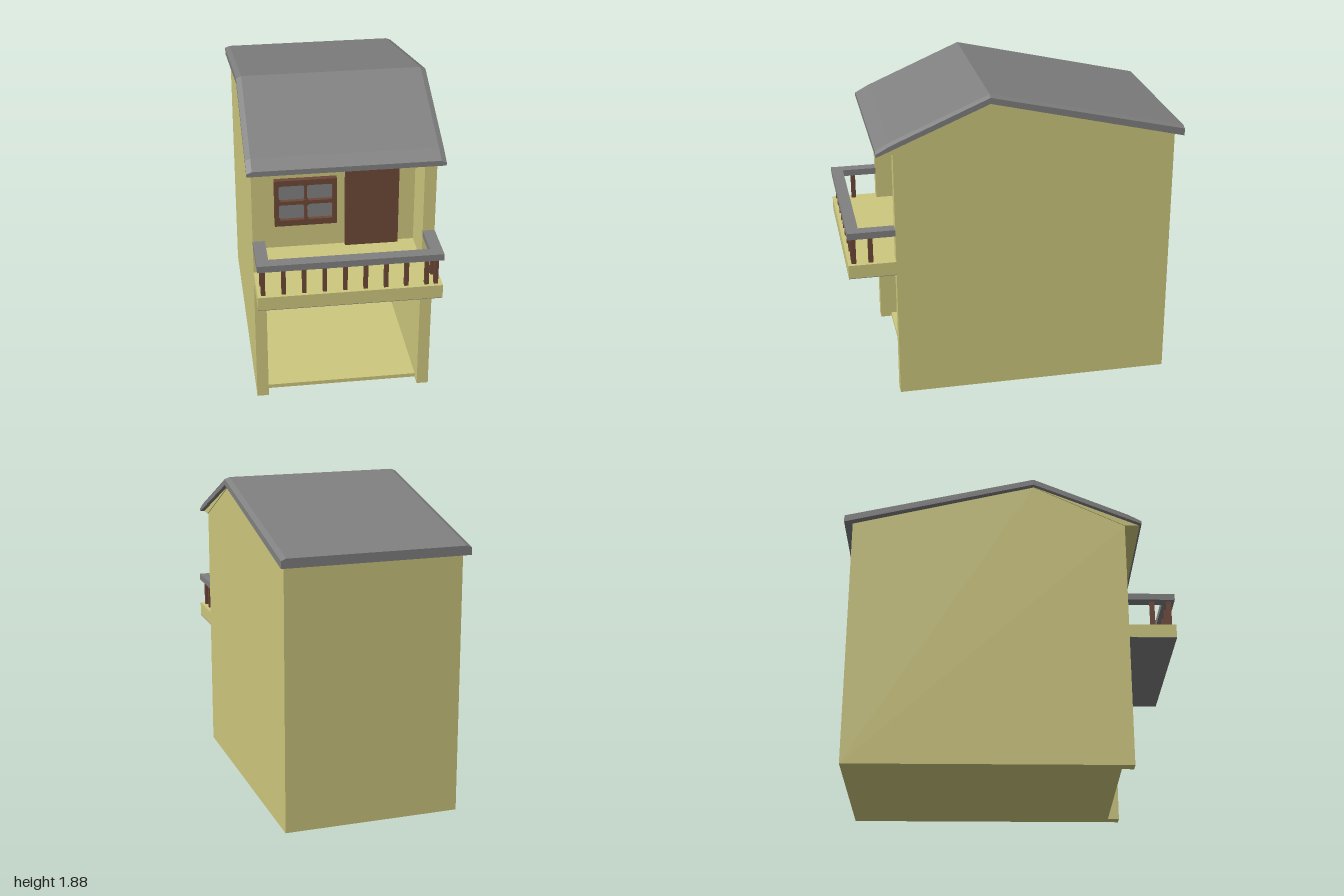
import * as THREE from 'three';

const wallPaint = new THREE.MeshStandardMaterial({ name: 'yellow plaster', color: 0xcdc77d });
const slate = new THREE.MeshStandardMaterial({ name: 'grey slate', color: 0x808080 });
const wood = new THREE.MeshStandardMaterial({ name: 'brown wood', color: 0x6d4737 });

// Box given by its minimum and maximum corners
function box(name, material, [x0, y0, z0], [x1, y1, z1]) {
  const mesh = new THREE.Mesh(new THREE.BoxGeometry(x1 - x0, y1 - y0, z1 - z0), material);
  mesh.position.set((x0 + x1) / 2, (y0 + y1) / 2, (z0 + z1) / 2);
  mesh.name = name;
  return mesh;
}

// Side profile of [z, y] points, extruded across the width from x0 to x1
function sideProfile(name, material, points, x0, x1) {
  const shape = new THREE.Shape(points.map(([z, y]) => new THREE.Vector2(-z, y)));
  const geometry = new THREE.ExtrudeGeometry(shape, { depth: x1 - x0, bevelEnabled: false });
  geometry.rotateY(Math.PI / 2).translate(x0, 0, 0);
  const mesh = new THREE.Mesh(geometry, material);
  mesh.name = name;
  return mesh;
}

// Gabled roof lofted across the width, with softened outer edges
function createRoof() {
  const top = [[0.82, 1.588], [0.74, 1.632], [0.16, 1.88], [-1, 1.612]];
  const bottom = [[-1, 1.557], [0.16, 1.832], [0.74, 1.59], [0.82, 1.557]];
  const rings = [[-0.56, 0.012], [-0.53, 0], [0.53, 0], [0.56, 0.012]].map(([x, drop]) => [
    ...top.map(([z, y]) => [x, y - drop, z]),
    ...bottom.map(([z, y]) => [x, y, z]),
  ]);
  const vertices = [];
  const quad = (a, b, c, d) => vertices.push(...a, ...b, ...c, ...a, ...c, ...d);
  for (let s = 0; s < 3; s++) {
    const a = rings[s], b = rings[s + 1];
    for (let i = 0; i < 8; i++) {
      const j = (i + 1) % 8;
      quad(a[i], b[i], b[j], a[j]);
    }
  }
  const left = rings[3], right = rings[0];
  for (let i = 0; i < 3; i++) {
    quad(left[i], left[7 - i], left[6 - i], left[i + 1]);
    quad(right[i], right[i + 1], right[6 - i], right[7 - i]);
  }
  const geometry = new THREE.BufferGeometry();
  geometry.setAttribute('position', new THREE.Float32BufferAttribute(vertices, 3));
  geometry.computeVertexNormals();
  const mesh = new THREE.Mesh(geometry, slate);
  mesh.name = 'roof';
  return mesh;
}

// Rectangle with slightly rounded corners
function roundedPath(path, x0, y0, x1, y1, r) {
  path.moveTo(x0 + r, y0);
  path.lineTo(x1 - r, y0).quadraticCurveTo(x1, y0, x1, y0 + r);
  path.lineTo(x1, y1 - r).quadraticCurveTo(x1, y1, x1 - r, y1);
  path.lineTo(x0 + r, y1).quadraticCurveTo(x0, y1, x0, y1 - r);
  path.lineTo(x0, y0 + r).quadraticCurveTo(x0, y0, x0 + r, y0);
  return path;
}

// Four-pane window on the recessed wall
function createWindow() {
  const group = new THREE.Group();
  group.name = 'window';
  const shape = roundedPath(new THREE.Shape(), -0.38, 1.045, -0.01, 1.345, 0.004);
  for (const x of [-0.354, -0.187]) {
    for (const y of [1.083, 1.208]) {
      shape.holes.push(roundedPath(new THREE.Path(), x, y, x + 0.151, y + 0.102, 0.014));
    }
  }
  const frame = new THREE.Mesh(
    new THREE.ExtrudeGeometry(shape, { depth: 0.035, bevelEnabled: false, curveSegments: 3 }), wood);
  frame.position.z = 0.45;
  frame.name = 'windowFrame';
  const boss = new THREE.Mesh(new THREE.CylinderGeometry(0.022, 0.022, 0.005, 12), wood);
  boss.rotation.x = Math.PI / 2;
  boss.position.set(-0.195, 1.197, 0.4865);
  boss.name = 'windowBoss';
  group.add(frame, boss, box('windowPanes', slate, [-0.365, 1.07, 0.45], [-0.025, 1.325, 0.459]));
  return group;
}

// Balcony slab, railing and posts
function createBalcony() {
  const group = new THREE.Group();
  group.name = 'balcony';
  group.add(
    box('balconySlab', wallPaint, [-0.53, 0.803, 0.72], [0.53, 0.885, 1]),
    box('balconyUnderside', slate, [-0.53, 0.8, 0.72], [0.53, 0.803, 1]),
    box('frontRail', slate, [-0.53, 1.05, 0.93], [0.53, 1.09, 1]),
  );
  for (const side of [-1, 1]) {
    const inner = 0.46 * side, outer = 0.53 * side;
    group.add(box('sideRail', slate,
      [Math.min(inner, outer), 1.05, 0.72], [Math.max(inner, outer), 1.09, 0.93]));
  }
  const addPost = (x, z) => group.add(
    box('railPost', wood, [x - 0.012, 0.885, z - 0.014], [x + 0.012, 1.05, z + 0.014]));
  for (let i = 0; i < 9; i++) addPost(-0.497 + i * 0.117, 0.965);
  addPost(0.493, 0.965);
  addPost(-0.497, 0.865);
  addPost(0.493, 0.865);
  return group;
}

export function createModel() {
  const model = new THREE.Group();
  model.name = 'house';

  // Gabled side walls
  const gable = [[0.72, 0], [0.72, 1.56], [0.16, 1.83], [-0.95, 1.56], [-0.95, 0]];
  model.add(
    sideProfile('leftWall', wallPaint, gable, 0.46, 0.53),
    sideProfile('rightWall', wallPaint, gable, -0.53, -0.46),
  );

  // Middle of the house: back wall, garage ceiling, recessed upper wall and header
  const core = [
    [0.72, 1.52], [0.72, 1.56], [0.16, 1.83], [-0.95, 1.56], [-0.95, 0], [-0.88, 0],
    [-0.88, 0.75], [0.72, 0.75], [0.72, 0.885], [0.45, 0.885], [0.45, 1.52],
  ];
  model.add(
    sideProfile('upperStoreyAndBackWall', wallPaint, core, -0.46, 0.46),
    box('garageFloor', wallPaint, [-0.46, 0, -0.88], [0.46, 0.025, 0.65]),
  );

  // Roof and the lining under its front overhang
  model.add(
    createRoof(),
    sideProfile('frontSoffit', wallPaint, [[0.16, 1.83], [0.81, 1.558], [0.72, 1.558]], -0.535, 0.535),
  );

  model.add(
    box('door', wood, [0.04, 0.885, 0.45], [0.36, 1.415, 0.48]),
    createWindow(),
    createBalcony(),
  );
  return model;
}
